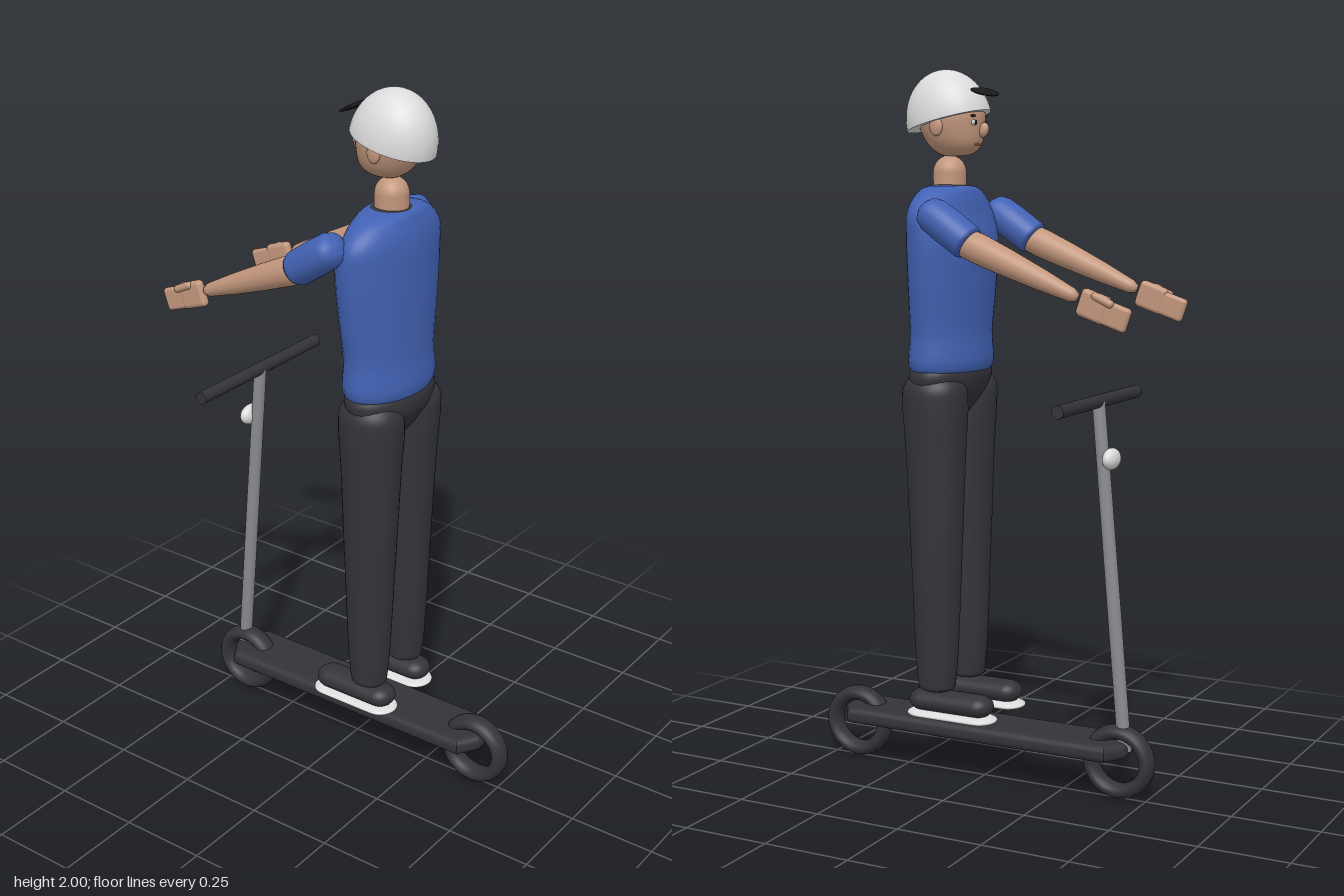
import * as THREE from 'three';
import { RoundedBoxGeometry } from 'three/addons/geometries/RoundedBoxGeometry.js';

const mat = (name, color) => {
  const m = new THREE.MeshStandardMaterial({ color });
  m.name = name;
  return m;
};

// Smooth skin through elliptical rings listed bottom to top: [y, rx, rz, cx, cz]
function loft(rings, seg = 32, steps = 5) {
  const pos = [], idx = [];
  const n = (rings.length - 1) * steps;
  const curves = [1, 2, 3, 4].map(k => new THREE.CatmullRomCurve3(
    rings.map(r => new THREE.Vector3(r[0], r[k], 0)), false, 'centripetal'));
  for (let i = 0; i <= n; i++) {
    const p = curves.map(c => c.getPoint(i / n));
    for (let j = 0; j < seg; j++) {
      const a = j / seg * Math.PI * 2;
      pos.push(p[2].y + Math.max(p[0].y, 0.0005) * Math.cos(a), p[0].x,
        p[3].y + Math.max(p[1].y, 0.0005) * Math.sin(a));
      if (i < n) {
        const k = (j + 1) % seg, b = i * seg, t = b + seg;
        idx.push(b + j, t + j, b + k, b + k, t + j, t + k);
      }
    }
  }
  const g = new THREE.BufferGeometry();
  g.setAttribute('position', new THREE.Float32BufferAttribute(pos, 3));
  g.setIndex(idx);
  g.computeVertexNormals();
  return g;
}

export function createModel() {
  const model = new THREE.Group();
  model.name = 'scooterRider';
  const blue = mat('shirtBlue', 0x4262b4);
  const skin = mat('skin', 0xc2967c);
  const black = mat('charcoal', 0x34333a);
  const white = mat('white', 0xdcdcdc);
  const metal = mat('poleGrey', 0x8b8b90);
  const dark = mat('featureBlack', 0x1c1a1c);
  const lip = mat('lipBrown', 0x8a4f45);

  const add = (name, geo, material, p = [0, 0, 0], s = [1, 1, 1], rx = 0, parent = model) => {
    const m = new THREE.Mesh(geo, material);
    m.name = name;
    m.position.set(...p);
    m.scale.set(...s);
    m.rotation.x = rx;
    parent.add(m);
    return m;
  };
  const ball = new THREE.SphereGeometry(1, 32, 20);

  // Turned part running from a to b; profile is [radius, fraction along the axis]
  const limb = (name, a, b, profile, material, parent = model) => {
    const va = new THREE.Vector3(...a), d = new THREE.Vector3(...b).sub(va);
    const len = d.length();
    const geo = new THREE.LatheGeometry(profile.map(([r, t]) => new THREE.Vector2(r, t * len)), 28);
    const m = add(name, geo, material, a, [1, 1, 1], 0, parent);
    m.quaternion.setFromUnitVectors(new THREE.Vector3(0, 1, 0), d.normalize());
    return m;
  };

  // Scooter wheels: wide tyres with open centres
  for (const [name, z] of [['frontWheel', -0.419], ['rearWheel', 0.419]]) {
    const g = new THREE.TorusGeometry(0.084, 0.021, 16, 40);
    g.scale(1, 1, 1.5);
    g.rotateY(Math.PI / 2);
    add(name, g, black, [0, 0.105, z]);
  }

  // Deck with chamfered ends and rounded rim
  const outline = new THREE.Shape([[-0.067, -0.4], [-0.02, -0.43], [0.02, -0.43], [0.067, -0.4],
    [0.067, 0.4], [0.02, 0.43], [-0.02, 0.43], [-0.067, 0.4]].map(p => new THREE.Vector2(...p)));
  const deck = new THREE.ExtrudeGeometry(outline,
    { depth: 0.008, bevelThickness: 0.02, bevelSize: 0.02, bevelSegments: 5 });
  deck.rotateX(-Math.PI / 2);
  add('deck', deck, black, [0, 0.137, 0]);

  // Steering pole, handlebar and lamp
  limb('steeringPole', [0, 0.135, -0.436], [0, 1.105, -0.348],
    [[0, 0], [0.019, 0], [0.019, 0.5], [0.018, 1], [0, 1]], metal);
  const bar = new THREE.CylinderGeometry(0.018, 0.018, 0.524, 24);
  bar.rotateZ(Math.PI / 2);
  add('handlebar', bar, black, [0, 1.105, -0.348]);
  add('headlamp', ball, white, [0, 0.95, -0.388], [0.041, 0.03, 0.022]);

  // Pelvis and torso
  add('pelvis', loft([[1.025, 0.005, 0.01, 0, 0.11], [1.05, 0.05, 0.05, 0, 0.11],
    [1.1, 0.125, 0.082, 0, 0.11], [1.135, 0.162, 0.096, 0, 0.11],
    [1.178, 0.157, 0.094, 0, 0.107], [1.18, 0, 0, 0, 0.107]]), black);
  add('shirt', loft([[1.168, 0, 0, 0, 0.106], [1.17, 0.156, 0.095, 0, 0.106],
    [1.28, 0.164, 0.097, 0, 0.105], [1.42, 0.184, 0.101, 0, 0.101],
    [1.54, 0.197, 0.1, 0, 0.1], [1.61, 0.193, 0.087, 0, 0.108],
    [1.655, 0.155, 0.075, 0, 0.108], [1.68, 0.095, 0.062, 0, 0.108], [1.684, 0, 0, 0, 0.108]]), blue);
  add('collar', ball, black, [0, 1.68, 0.108], [0.064, 0.009, 0.056]);

  // Neck, head and face
  add('neck', new THREE.CapsuleGeometry(0.047, 0.06, 8, 24), skin, [0, 1.69, 0.11]);
  add('head', loft([[1.763, 0, 0, 0, 0.095], [1.767, 0.03, 0.04, 0, 0.09],
    [1.79, 0.06, 0.073, 0, 0.092], [1.84, 0.081, 0.093, 0, 0.102],
    [1.89, 0.083, 0.096, 0, 0.106], [1.94, 0.06, 0.07, 0, 0.108], [1.965, 0, 0, 0, 0.108]]), skin);
  add('nose', ball, skin, [0, 1.835, 0.004], [0.012, 0.021, 0.015], -0.3);
  add('mouth', ball, lip, [0, 1.797, 0.021], [0.022, 0.006, 0.006]);
  for (const s of [-1, 1]) {
    add('ear', ball, skin, [s * 0.081, 1.845, 0.108], [0.01, 0.027, 0.02]);
    add('eyeWhite', ball, white, [s * 0.03, 1.855, 0.017], [0.013, 0.008, 0.006]);
    add('pupil', ball, dark, [s * 0.03, 1.855, 0.013], [0.006, 0.007, 0.004]);
    add('eyebrow', ball, dark, [s * 0.031, 1.873, 0.018], [0.017, 0.004, 0.005]);
  }

  // Helmet shell, its closed underside and the peak
  const helmet = new THREE.Group();
  helmet.name = 'helmet';
  helmet.position.set(0, 1.859, 0.112);
  helmet.rotation.x = 0.25;
  model.add(helmet);
  add('helmetShell', new THREE.SphereGeometry(1, 40, 20, 0, Math.PI * 2, 0, Math.PI / 2),
    white, [0, 0, 0], [0.1, 0.143, 0.124], 0, helmet);
  add('helmetRim', new THREE.CircleGeometry(1, 40), white, [0, 0, 0], [0.1, 0.124, 1], Math.PI / 2, helmet);
  add('helmetPeak', ball, dark, [0, 1.938, 0.0], [0.077, 0.007, 0.022], -0.5);

  for (const s of [-1, 1]) {
    const side = s > 0 ? 'left' : 'right';

    // Trouser leg
    add(side + 'Leg', loft([[0.262, 0, 0, s * 0.09, 0.106], [0.268, 0.046, 0.048, s * 0.09, 0.106],
      [0.3, 0.052, 0.056, s * 0.09, 0.106], [0.65, 0.07, 0.073, s * 0.088, 0.107],
      [0.95, 0.081, 0.086, s * 0.087, 0.109], [1.08, 0.085, 0.094, s * 0.088, 0.11],
      [1.13, 0.079, 0.09, s * 0.09, 0.11], [1.165, 0.05, 0.06, s * 0.09, 0.11],
      [1.172, 0, 0, s * 0.09, 0.11]]), black);

    // Shoe: pale sole under a dark upper
    const sole = new THREE.CapsuleGeometry(0.05, 0.176, 12, 28);
    sole.rotateX(Math.PI / 2);
    add(side + 'Sole', sole, white, [s * 0.09, 0.193, 0.058], [1.03, 0.26, 1]);
    const upper = new THREE.CapsuleGeometry(0.044, 0.172, 12, 28);
    upper.rotateX(Math.PI / 2);
    add(side + 'Shoe', upper, black, [s * 0.09, 0.231, 0.06], [1.03, 0.73, 1]);

    // Sleeve and forearm reaching forward
    const x = s * 0.196;
    const sleeve = limb(side + 'Sleeve', [x, 1.628, 0.085], [x, 1.53, -0.058],
      [[0, 0], [0.024, 0.02], [0.04, 0.09], [0.048, 0.22], [0.05, 0.5], [0.049, 0.92],
        [0.044, 0.99], [0, 1]], blue);
    sleeve.scale.x = 1.08;
    limb(side + 'Forearm', [x, 1.55, -0.01], [x, 1.398, -0.375],
      [[0, 0], [0.038, 0], [0.041, 0.2], [0.037, 0.42], [0.029, 0.7], [0.019, 0.95],
        [0.012, 0.99], [0, 1]], skin);

    // Hand: palm, fingers and thumb
    const hand = new THREE.Group();
    hand.name = side + 'Hand';
    hand.position.set(s * 0.195, 1.368, -0.447);
    hand.rotation.x = -0.33;
    model.add(hand);
    add('palm', new RoundedBoxGeometry(0.027, 0.076, 0.085, 4, 0.013), skin,
      [0, 0, 0.03], [1, 1, 1], 0, hand);
    add('fingers', new RoundedBoxGeometry(0.023, 0.066, 0.09, 4, 0.011), skin,
      [0, -0.003, -0.03], [1, 1, 1], 0, hand);
    const thumb = new THREE.CapsuleGeometry(0.011, 0.045, 6, 14);
    thumb.rotateX(Math.PI / 2);
    add('thumb', thumb, skin, [s * 0.009, 0.026, 0.008], [1, 1, 1], -0.1, hand);
  }
  return model;
}
